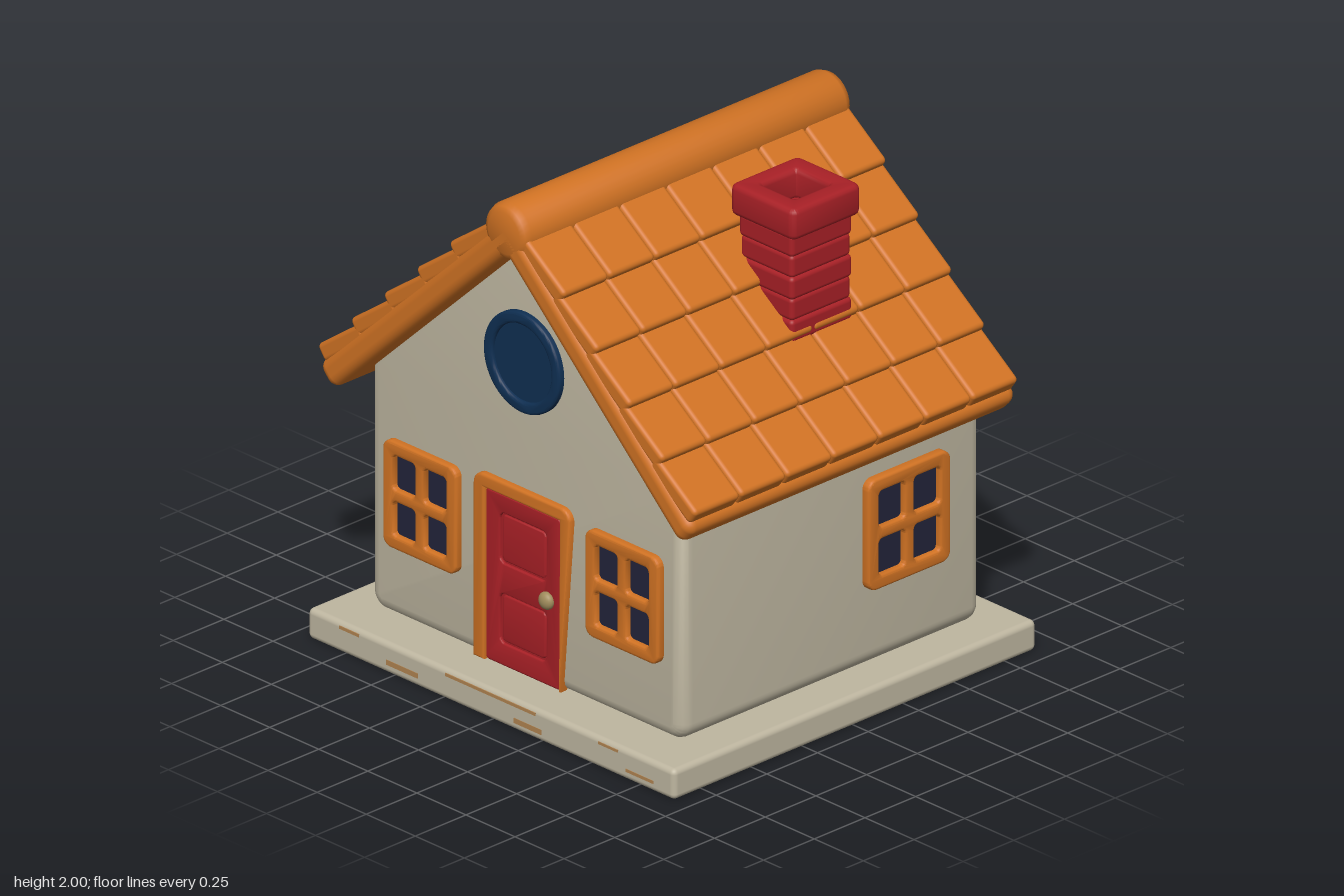
import * as THREE from 'three';
import { toCreasedNormals } from 'three/addons/utils/BufferGeometryUtils.js';
import { RoundedBoxGeometry } from 'three/addons/geometries/RoundedBoxGeometry.js';

const paint = (name, color) => new THREE.MeshStandardMaterial({ name, color });

export function createModel() {
  const orange = paint('orange', 0xd07223);
  const red = paint('red', 0xa82026);
  const cream = paint('cream', 0xbeb6a0);
  const navy = paint('navy', 0x0f2f52);
  const glass = paint('dark glass', 0x22243a);
  const brass = paint('brass', 0xa08c5c);
  const wear = paint('worn brown', 0xb08350);
  const soot = paint('soot', 0x1c1a1a);

  const house = new THREE.Group();
  house.name = 'house';

  const add = (parent, name, geometry, material, x = 0, y = 0, z = 0) => {
    const mesh = new THREE.Mesh(geometry, material);
    mesh.name = name;
    mesh.position.set(x, y, z);
    parent.add(mesh);
    return mesh;
  };
  const rbox = (w, h, d, r) => new RoundedBoxGeometry(w, h, d, 3, r);

  // Rounded rectangle centred on (cx, cy)
  const roundRect = (cx, cy, w, h, r, Type = THREE.Shape) => {
    const s = new Type(), x = w / 2 - r, y = h / 2 - r;
    s.absarc(cx + x, cy + y, r, 0, Math.PI / 2);
    s.absarc(cx - x, cy + y, r, Math.PI / 2, Math.PI);
    s.absarc(cx - x, cy - y, r, Math.PI, Math.PI * 1.5);
    s.absarc(cx + x, cy - y, r, Math.PI * 1.5, Math.PI * 2);
    s.closePath();
    return s;
  };
  // Extrusion from z = 0 to z = depth with rounded edges inside the outline
  const slab = (shape, depth, bevel, segments = 3) => {
    const g = new THREE.ExtrudeGeometry(shape, {
      depth: depth - 2 * bevel, bevelThickness: bevel, bevelSize: bevel,
      bevelOffset: -bevel, bevelSegments: segments, curveSegments: 5,
    });
    g.translate(0, 0, bevel);
    return toCreasedNormals(g, 0.7);
  };

  // Base slab and its worn patches
  add(house, 'base', rbox(1.87, 0.12, 1.79, 0.022), cream, 0, 0.06, 0);
  const patches = [[0, 0.1, 0.46, 0.012], [-0.45, 0.045, 0.16, 0.02], [0.19, 0.04, 0.14, 0.02],
    [-0.72, 0.1, 0.1, 0.012], [0.76, 0.04, 0.14, 0.012], [0.6, 0.1, 0.1, 0.01]];
  for (const [x, y, w, h] of patches) {
    add(house, 'wornPatch', new THREE.BoxGeometry(w, h, 0.004), wear, x, y, 0.895);
  }

  // Walls with gables, rounded at the corners
  const wall = new THREE.Shape();
  wall.moveTo(0.8, 1.1);
  wall.lineTo(0, 1.86);
  wall.lineTo(-0.8, 1.1);
  wall.absarc(-0.73, 0.185, 0.07, Math.PI, Math.PI * 1.5);
  wall.absarc(0.73, 0.185, 0.07, Math.PI * 1.5, Math.PI * 2);
  wall.closePath();
  add(house, 'walls', slab(wall, 1.475, 0.05, 4), cream, 0, 0, -0.755);

  // Roof: each side is a slab with rows of overlapping tiles
  const pitch = 0.756, roofZ = 0.02;
  const tileGeometry = rbox(0.262, 0.07, 0.227, 0.018);
  for (const side of [1, -1]) {
    const roof = new THREE.Group();
    roof.name = side > 0 ? 'leftRoof' : 'rightRoof';
    roof.position.set(0, 1.95, roofZ);
    roof.rotation.z = -side * pitch;
    add(roof, 'roofSlab', rbox(1.32, 0.11, 1.62, 0.04), orange, side * 0.66, -0.055, 0);
    for (let row = 0; row < 5; row++) {
      for (let col = -3; col <= 3; col++) {
        const tile = add(roof, 'roofTile', tileGeometry, orange,
          side * (0.232 + row * 0.23), 0.005, col * 0.2285);
        tile.rotation.z = side * 0.13;
      }
    }
    house.add(roof);
  }

  // Ridge roll with rounded ends
  const ridgeProfile = [[0, -0.81], [0.08, -0.81], [0.1, -0.8], [0.11, -0.775],
    [0.11, 0.775], [0.1, 0.8], [0.08, 0.81], [0, 0.81]].map(p => new THREE.Vector2(...p));
  const ridge = add(house, 'ridge', toCreasedNormals(new THREE.LatheGeometry(ridgeProfile, 32), 0.8),
    orange, 0, 1.89, roofZ);
  ridge.rotation.x = Math.PI / 2;

  // Chimney: brick courses under a hollow cap
  const chimney = new THREE.Group();
  chimney.name = 'chimney';
  chimney.position.set(0.485, 0, -0.14);
  for (let i = 0; i < 7; i++) {
    const grow = i % 2 ? 0 : 0.008;
    add(chimney, 'brickCourse', rbox(0.266 + grow, 0.09, 0.294 + grow, 0.018), red, 0, 1.27 + i * 0.084, 0);
  }
  const capShape = roundRect(0, 0, 0.33, 0.34, 0.03);
  capShape.holes.push(roundRect(0, 0, 0.165, 0.17, 0.01, THREE.Path));
  const cap = add(chimney, 'chimneyCap', slab(capShape, 0.12, 0.02), red, 0, 1.81, 0);
  cap.rotation.x = -Math.PI / 2;
  house.add(chimney);

  // Sooty sliver beside the chimney
  const sliver = add(house, 'sootSliver', new THREE.BoxGeometry(0.02, 0.14, 0.1), soot, 0.3, 1.78, -0.21);
  sliver.rotation.z = 0.5;

  // Four-pane windows
  const addWindow = (name, w, h, x, y, z, turn) => {
    const win = new THREE.Group();
    win.name = name;
    win.position.set(x, y, z);
    win.rotation.y = turn;
    const border = 0.052, bar = 0.046;
    const pw = (w - 2 * border - bar) / 2, ph = (h - 2 * border - bar) / 2;
    const frame = roundRect(0, 0, w, h, 0.04);
    for (const sx of [-1, 1]) {
      for (const sy of [-1, 1]) {
        frame.holes.push(roundRect(sx * (pw + bar) / 2, sy * (ph + bar) / 2, pw, ph, 0.018, THREE.Path));
      }
    }
    add(win, 'windowFrame', slab(frame, 0.045, 0.01), orange, 0, 0, -0.01);
    add(win, 'windowGlass', new THREE.BoxGeometry(w - 0.06, h - 0.06, 0.008), glass, 0, 0, 0.006);
    house.add(win);
  };
  addWindow('frontRightWindow', 0.375, 0.42, -0.515, 0.61, 0.715, 0);
  addWindow('frontLeftWindow', 0.375, 0.42, 0.515, 0.61, 0.715, 0);
  addWindow('leftSideWindow', 0.405, 0.435, 0.8, 0.647, -0.367, Math.PI / 2);
  addWindow('rightSideWindow', 0.405, 0.435, -0.8, 0.647, -0.367, -Math.PI / 2);

  // Door surround: an arch open at the bottom
  const surround = new THREE.Shape();
  surround.moveTo(0.247, 0.12);
  surround.absarc(0.197, 0.8, 0.05, 0, Math.PI / 2);
  surround.absarc(-0.197, 0.8, 0.05, Math.PI / 2, Math.PI);
  surround.lineTo(-0.247, 0.12);
  surround.lineTo(-0.193, 0.12);
  surround.lineTo(-0.193, 0.797);
  surround.lineTo(0.193, 0.797);
  surround.lineTo(0.193, 0.12);
  surround.closePath();
  add(house, 'doorFrame', slab(surround, 0.045, 0.01), orange, 0, 0, 0.7);

  // Door with two sunken panels and a knob
  const door = roundRect(0, 0.46, 0.38, 0.67, 0.015);
  for (const y of [0.625, 0.31]) {
    door.holes.push(roundRect(0, y, 0.238, 0.198, 0.025, THREE.Path));
    add(house, 'doorPanel', slab(roundRect(0, y, 0.222, 0.182, 0.02), 0.03, 0.006), red, 0, 0, 0.7);
  }
  add(house, 'door', slab(door, 0.035, 0.005), red, 0, 0, 0.7);
  add(house, 'doorBack', new THREE.BoxGeometry(0.36, 0.64, 0.008), red, 0, 0.46, 0.72);
  const knob = add(house, 'doorKnob', new THREE.SphereGeometry(0.034, 20, 14), brass, 0.125, 0.46, 0.74);
  knob.scale.z = 0.7;

  // Round gable window: ring and pane
  const ring = new THREE.Shape().absarc(0, 0, 0.195, 0, Math.PI * 2);
  ring.holes.push(new THREE.Path().absarc(0, 0, 0.15, 0, Math.PI * 2));
  const ringGeometry = new THREE.ExtrudeGeometry(ring, {
    depth: 0.02, bevelThickness: 0.01, bevelSize: 0.01, bevelOffset: -0.01, bevelSegments: 3, curveSegments: 28,
  });
  add(house, 'roundWindowFrame', toCreasedNormals(ringGeometry, 0.7), navy, 0, 1.35, 0.715);
  const pane = add(house, 'roundWindowPane', new THREE.CylinderGeometry(0.16, 0.16, 0.03, 40), navy, 0, 1.35, 0.715);
  pane.rotation.x = Math.PI / 2;

  return house;
}
